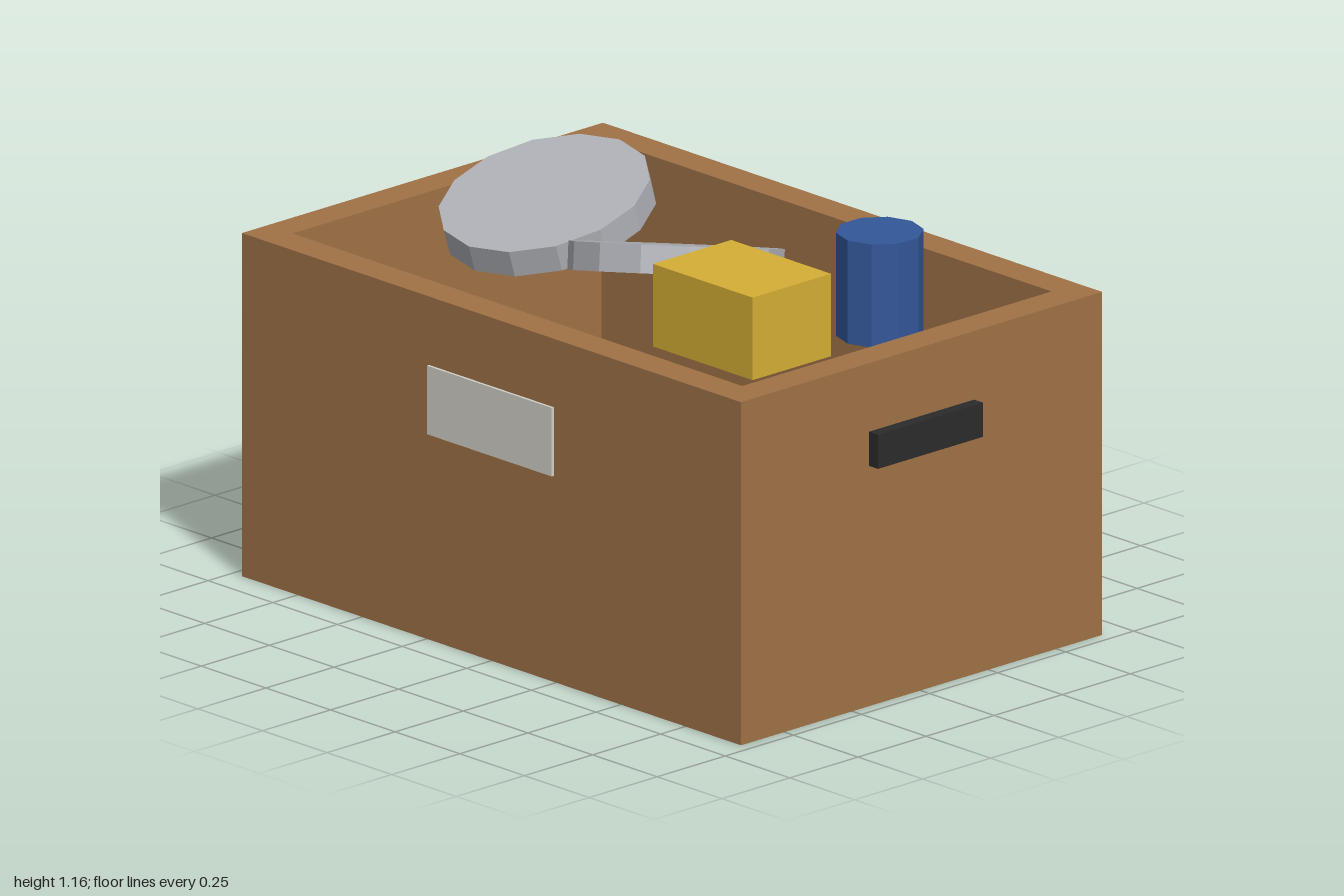
import * as THREE from 'three';

const material = (color) => new THREE.MeshStandardMaterial({ color, flatShading: true });
const wood = material(0xa07246);
const black = material(0x2b2b2b);
const paper = material(0xd2d1c8);
const steel = material(0xb0b2b8);
const blue = material(0x335799);
const yellow = material(0xd4ae35);

export function createModel() {
  const model = new THREE.Group();
  model.name = 'storageCrate';

  const add = (name, geometry, mat, x, y, z) => {
    const mesh = new THREE.Mesh(geometry, mat);
    mesh.name = name;
    mesh.position.set(x, y, z);
    model.add(mesh);
    return mesh;
  };
  const box = (name, w, h, d, mat, x, y, z) =>
    add(name, new THREE.BoxGeometry(w, h, d), mat, x, y, z);

  // Crate: a rectangular ring of walls around a floor panel
  const W = 1.93, H = 0.965, D = 1.326, T = 0.095, Z = -0.004;
  const rectangle = (PathType, w, d) => new PathType([
    new THREE.Vector2(-w / 2, -d / 2), new THREE.Vector2(w / 2, -d / 2),
    new THREE.Vector2(w / 2, d / 2), new THREE.Vector2(-w / 2, d / 2),
  ]);
  const outline = rectangle(THREE.Shape, W, D);
  outline.holes.push(rectangle(THREE.Path, W - 2 * T, D - 2 * T));
  const walls = new THREE.ExtrudeGeometry(outline, { depth: H, bevelEnabled: false });
  walls.rotateX(-Math.PI / 2);
  add('crateWalls', walls, wood, 0, 0, Z);
  box('crateFloor', W - 2 * T, T, D - 2 * T, wood, 0, T / 2, Z);

  // Side handles
  for (const side of [1, -1]) {
    box(side > 0 ? 'leftHandle' : 'rightHandle', 0.04, 0.096, 0.386, black, side * 0.98, 0.724, Z);
  }

  // Front label plate
  box('labelPlate', 0.482, 0.193, 0.01, paper, 0, 0.676, 0.662);

  // Tilted round discs
  const disc = new THREE.CylinderGeometry(0.29, 0.29, 0.077, 14);
  add('rightDisc', disc, steel, -0.483, 1.007, -0.005).rotation.set(0.3, 0, 0);
  add('leftDisc', disc, steel, 0.118, 1.026, 0.093).rotation.set(-0.25, 0, 0.2);

  // Can and block
  add('can', new THREE.CylinderGeometry(0.118, 0.118, 0.29, 10), blue, 0.6, 1.012, -0.197);
  box('block', 0.386, 0.232, 0.288, yellow, 0.578, 1.042, 0.288);

  return model;
}
